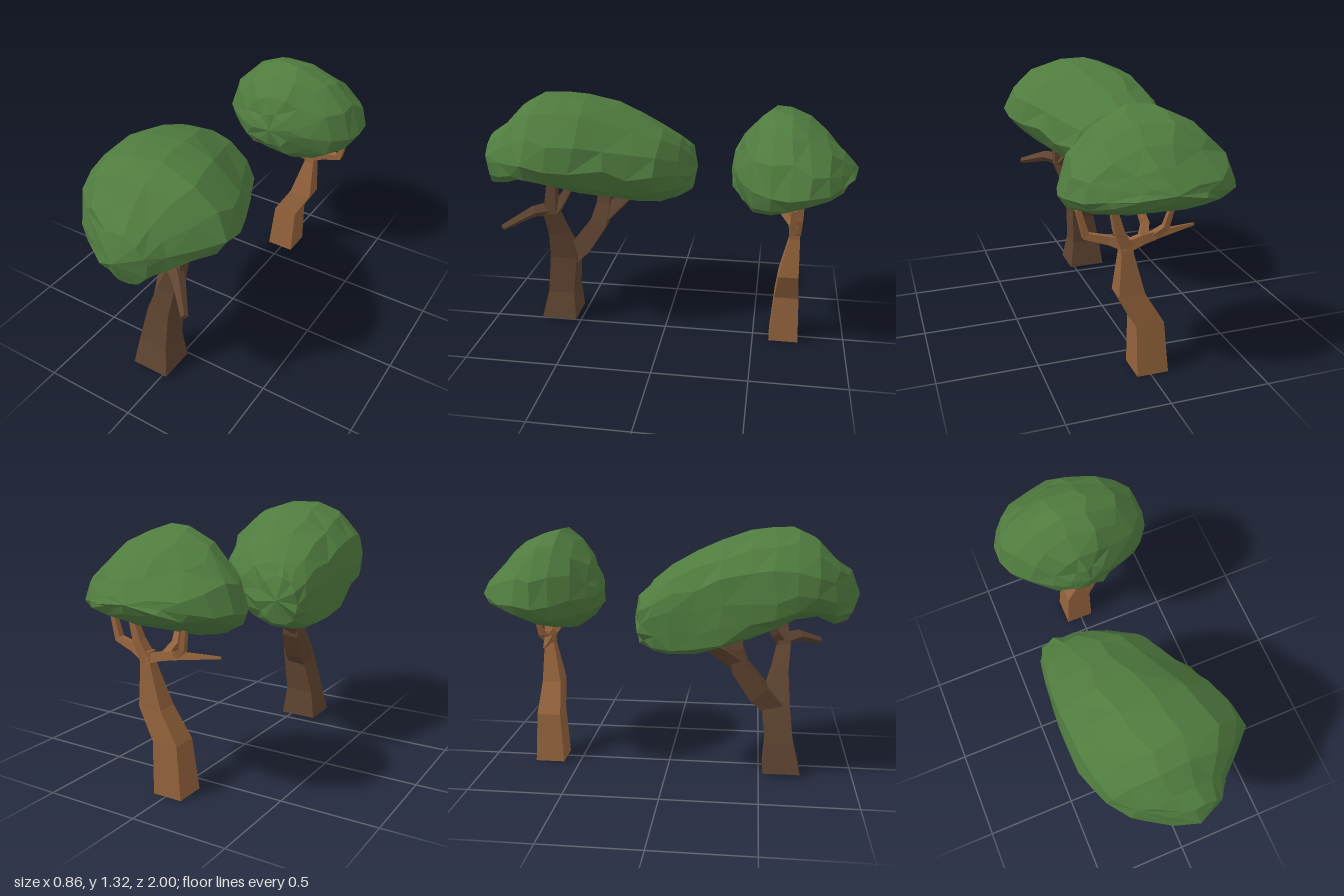
import * as THREE from 'three';

const V = (x, y, z) => new THREE.Vector3(x, y, z);

// Skin of triangles over equal-sized rings, closed at both ends by tip points
function loft(rings, startTip, endTip) {
  const n = rings[0].length, pos = [];
  const tri = (...pts) => pts.forEach(p => pos.push(p.x, p.y, p.z));
  for (let j = 0; j < n; j++) {
    const k = (j + 1) % n, last = rings[rings.length - 1];
    tri(startTip, rings[0][k], rings[0][j]);
    for (let i = 0; i < rings.length - 1; i++) {
      const a = rings[i], b = rings[i + 1];
      if ((i + j) % 2) {
        tri(a[j], a[k], b[k]);
        tri(a[j], b[k], b[j]);
      } else {
        tri(a[j], a[k], b[j]);
        tri(a[k], b[k], b[j]);
      }
    }
    tri(endTip, last[j], last[k]);
  }
  const g = new THREE.BufferGeometry();
  g.setAttribute('position', new THREE.Float32BufferAttribute(pos, 3));
  g.computeVertexNormals();
  return g;
}

// Four-sided limb; each station is [x, y, z, widthX, widthZ]
function limb(name, stations, material, upright = false) {
  const pts = stations.map(s => V(s[0], s[1], s[2]));
  const rings = stations.map(([, , , w, d = w], i) => {
    const dir = pts[Math.min(i + 1, pts.length - 1)].clone().sub(pts[Math.max(i - 1, 0)]).normalize();
    const q = new THREE.Quaternion();
    if (!upright) q.setFromUnitVectors(V(0, 1, 0), dir);
    return [[-1, 1], [1, 1], [1, -1], [-1, -1]].map(([a, b]) =>
      V(a * w / 2, 0, b * d / 2).applyQuaternion(q).add(pts[i]));
  });
  const mesh = new THREE.Mesh(loft(rings, pts[0], pts[pts.length - 1]), material);
  mesh.name = name;
  return mesh;
}

// Faceted crown; each station along z is [z, xMin, xMax, yBottom, yWidest, yTop, lean].
// lean sags the underside (and less so the top) towards -x; taper above 1 makes the top conical.
function crown(name, stations, startTip, endTip, material, taper, seed) {
  const rand = () => {
    seed = (seed * 16807) % 2147483647;
    return seed / 2147483647 - 0.5;
  };
  const n = 14;
  const rings = stations.map(([z, x0, x1, yb, ym, yt, lean = 0]) => {
    const ring = [];
    for (let j = 0; j < n; j++) {
      const a = (j + 0.35 * rand()) / n * Math.PI * 2;
      const c = Math.cos(a), s = Math.sin(a), up = s > 0;
      const round = (v, e) => Math.sign(v) * Math.abs(v) ** e;
      const ex = up ? taper : c < 0 ? 0.9 - 2.5 * lean : 0.9;
      const k = 1 + 0.025 * rand();
      const x = (x0 + x1) / 2 + (x1 - x0) / 2 * round(c, ex) * k - lean * Math.abs(s) * (up ? 0.4 : 1);
      ring.push(V(
        Math.max(x, x0 - 0.005),
        ym + (up ? yt - ym : ym - yb) * round(s, up ? taper : 0.9) * k,
        z + 0.03 * rand()));
    }
    return ring;
  });
  const mesh = new THREE.Mesh(loft(rings, startTip, endTip), material);
  mesh.name = name;
  return mesh;
}

export function createModel() {
  const mat = color => new THREE.MeshStandardMaterial({ color, flatShading: true });
  const leaf = mat(0x507c3f), darkBark = mat(0x5f4431), lightBark = mat(0x94633c);
  const model = new THREE.Group();
  model.name = 'twoTrees';

  // Front tree: broad lopsided crown on a forked trunk
  const front = new THREE.Group();
  front.name = 'frontTree';
  front.add(
    crown('frontCrown', [
      [-0.11, -0.37, -0.13, 0.76, 0.88, 1.01, 0.02],
      [-0.05, -0.39, 0.01, 0.722, 0.91, 1.07, 0.06],
      [0.04, -0.405, 0.16, 0.712, 0.93, 1.14, 0.1],
      [0.16, -0.415, 0.22, 0.715, 0.95, 1.21, 0.12],
      [0.29, -0.425, 0.28, 0.745, 0.98, 1.265, 0.12],
      [0.43, -0.425, 0.345, 0.79, 1.0, 1.315, 0.1],
      [0.55, -0.425, 0.39, 0.84, 1.01, 1.325, 0.08],
      [0.66, -0.405, 0.39, 0.88, 1.02, 1.325, 0.04],
      [0.76, -0.36, 0.31, 0.88, 1.02, 1.275, 0.01],
      [0.86, -0.28, 0.2, 0.835, 0.99, 1.17],
      [0.94, -0.12, 0.15, 0.84, 0.97, 1.11]
    ], V(-0.27, 0.89, -0.145), V(0.01, 0.98, 1.0), leaf, 1.02, 77),
    limb('frontTrunk', [
      [-0.07, 0.02, 0.62, 0.21, 0.2],
      [-0.07, 0.18, 0.605, 0.165, 0.15],
      [-0.04, 0.4, 0.58, 0.125, 0.15],
      [0.01, 0.56, 0.6, 0.1, 0.09],
      [0.065, 0.69, 0.62, 0.085, 0.07],
      [0.09, 0.92, 0.6, 0.04, 0.04]
    ], darkBark, true),
    limb('frontFork', [
      [-0.055, 0.36, 0.58, 0.1],
      [-0.075, 0.45, 0.49, 0.11],
      [-0.095, 0.59, 0.39, 0.095],
      [-0.115, 0.7, 0.365, 0.075],
      [-0.115, 0.9, 0.35, 0.05]
    ], darkBark),
    limb('forkBranch', [[-0.1, 0.62, 0.37, 0.075], [-0.16, 0.7, 0.28, 0.065], [-0.23, 0.765, 0.19, 0.04]], darkBark),
    limb('forwardBranch', [[0.06, 0.71, 0.62, 0.06], [0.14, 0.715, 0.7, 0.045], [0.26, 0.66, 0.83, 0.025]], darkBark),
    limb('backwardBranch', [[0.07, 0.69, 0.61, 0.06], [0.03, 0.75, 0.57, 0.045], [0.0, 0.87, 0.5, 0.03]], darkBark));

  // Rear tree: domed crown on a crooked trunk with thin branches
  const rear = new THREE.Group();
  rear.name = 'rearTree';
  rear.add(
    crown('rearCrown', [
      [-0.965, -0.16, 0.16, 0.95, 0.985, 1.04],
      [-0.91, -0.27, 0.28, 0.905, 0.97, 1.1],
      [-0.83, -0.35, 0.365, 0.875, 0.96, 1.18],
      [-0.74, -0.395, 0.42, 0.84, 0.95, 1.25],
      [-0.65, -0.4, 0.425, 0.805, 0.945, 1.295],
      [-0.57, -0.365, 0.405, 0.78, 0.945, 1.305],
      [-0.49, -0.29, 0.34, 0.775, 0.95, 1.25],
      [-0.42, -0.19, 0.23, 0.82, 0.955, 1.16],
      [-0.375, -0.1, 0.12, 0.88, 0.965, 1.07]
    ], V(0, 1.0, -1.0), V(0.01, 0.98, -0.355), leaf, 1.1, 4242),
    limb('rearTrunk', [
      [-0.01, 0.0, -0.67, 0.16, 0.16],
      [0.005, 0.27, -0.675, 0.14, 0.13],
      [0.095, 0.43, -0.677, 0.13, 0.105],
      [0.118, 0.64, -0.697, 0.06, 0.055],
      [0.125, 0.71, -0.697, 0.06, 0.05]
    ], lightBark, true));
  const twigs = [
    [[0.12, 0.68, -0.7, 0.055], [0.2, 0.71, -0.69, 0.04], [0.305, 0.74, -0.68, 0.035], [0.34, 0.87, -0.68, 0.025]],
    [[0.125, 0.68, -0.7, 0.055], [0.16, 0.76, -0.71, 0.045], [0.19, 0.88, -0.72, 0.03]],
    [[0.12, 0.67, -0.7, 0.05], [0.04, 0.69, -0.685, 0.045], [-0.06, 0.7, -0.665, 0.035], [-0.25, 0.71, -0.63, 0.012]],
    [[0.03, 0.69, -0.68, 0.04], [0.0, 0.745, -0.63, 0.035], [0.02, 0.84, -0.57, 0.025]],
    [[-0.02, 0.69, -0.67, 0.035], [-0.08, 0.74, -0.69, 0.03], [-0.11, 0.87, -0.71, 0.02]]
  ];
  twigs.forEach((t, i) => rear.add(limb('rearBranch' + (i + 1), t, lightBark)));

  model.add(front, rear);
  return model;
}
